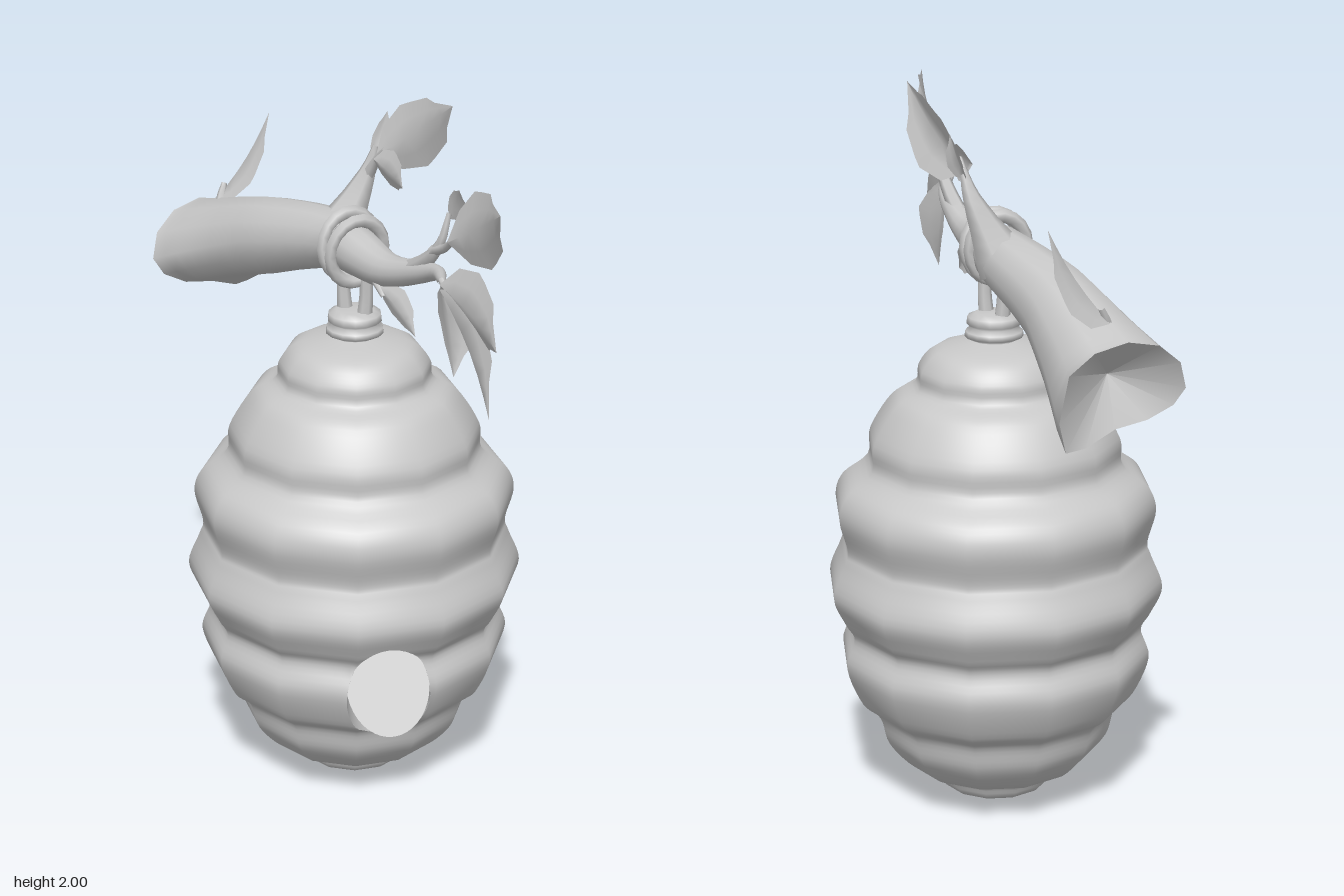
import * as THREE from 'three';

const V = (a) => new THREE.Vector3(...a);

// Surface from rows (v) of points (u); skip(a, b, c) may leave out triangles
function grid(nu, nv, fn, wrap, skip = () => false) {
  const pos = [], index = [], cols = wrap ? nu : nu + 1;
  for (let v = 0; v <= nv; v++)
    for (let u = 0; u < cols; u++) pos.push(...fn(u / nu, v / nv, u, v).toArray());
  for (let v = 0; v < nv; v++)
    for (let u = 0; u < nu; u++) {
      const w = (u + 1) % cols, a = v * cols + u, b = v * cols + w, c = a + cols, d = b + cols;
      for (const t of [[a, b, c], [b, d, c]]) if (!skip(...t)) index.push(...t);
    }
  const g = new THREE.BufferGeometry();
  g.setAttribute('position', new THREE.Float32BufferAttribute(pos, 3));
  g.setIndex(index);
  g.computeVertexNormals();
  return g;
}

// Tapered tube along a smooth path; radii are spread evenly over its points
function taper(points, radii, sides, steps, shape = (offset) => offset) {
  const path = new THREE.CatmullRomCurve3(points.map(V));
  const f = path.computeFrenetFrames(steps, false);
  const ringPoint = (u, v, row) => {
    const k = v * (radii.length - 1), i = Math.min(Math.floor(k), radii.length - 2);
    const r = THREE.MathUtils.lerp(radii[i], radii[i + 1], k - i), a = u * Math.PI * 2;
    const offset = new THREE.Vector3()
      .addScaledVector(f.normals[row], r * Math.cos(a))
      .addScaledVector(f.binormals[row], r * Math.sin(a));
    return path.getPoint(v).add(shape(offset, f.tangents[row], v));
  };
  return { geometry: grid(sides, steps, (u, v, i, j) => ringPoint(u, v, j), true), path, ringPoint };
}

// Folded, pointed leaf from base to tip; 'normal' is the way its face points
function leaf(base, tip, width, normal = [0.72, 0, -0.7]) {
  const b = V(base), axis = V(tip).sub(b), n = V(normal);
  const side = new THREE.Vector3().crossVectors(n, axis).normalize();
  n.crossVectors(axis, side).normalize();
  const w = [0.05, 0.7, 1, 0.92, 0.72, 0.42, 0], len = axis.length();
  return grid(4, 6, (u, v, i, j) => {
    const s = u * 2 - 1;
    return b.clone().addScaledVector(axis, v - 0.06 * Math.abs(s) * (j % 2))
      .addScaledVector(side, s * w[j] * width / 2)
      .addScaledVector(n, Math.abs(s) * w[j] * width * 0.2 + len * 0.04 * Math.sin(v * Math.PI));
  }, false);
}

export function createModel() {
  const model = new THREE.Group();
  const grey = new THREE.MeshStandardMaterial({ name: 'grey', color: 0xc8c8c8 });
  const greyThin = grey.clone();
  greyThin.side = THREE.DoubleSide;
  const white = new THREE.MeshStandardMaterial({ name: 'white', color: 0xffffff });
  const add = (name, geometry, material = grey, parent = model) => {
    const m = new THREE.Mesh(geometry, material);
    m.name = name;
    parent.add(m);
    return m;
  };

  // Hive: scalloped profile, round normals on a twelve-sided outline
  const hive = new THREE.Group();
  hive.name = 'hive';
  hive.position.set(0.05, 0, -0.07);
  model.add(hive);
  const profile = [[0.001, 0.005], [0.08, 0.015], [0.145, 0.04], [0.175, 0.085], [0.24, 0.11], [0.31, 0.19],
    [0.335, 0.27], [0.385, 0.32], [0.428, 0.43], [0.405, 0.51], [0.43, 0.56], [0.462, 0.64], [0.43, 0.73],
    [0.42, 0.77], [0.442, 0.86], [0.42, 0.925], [0.35, 0.985], [0.342, 1.06], [0.28, 1.16],
    [0.215, 1.2], [0.205, 1.25], [0.16, 1.3], [0.06, 1.325]];
  const curve = new THREE.SplineCurve(profile.map((p) => new THREE.Vector2(...p)));
  const rows = curve.getPoints(110);
  const radiusAt = (y) => {
    const i = Math.max(1, rows.findIndex((p) => p.y >= y)), p = rows[i - 1], q = rows[i];
    return THREE.MathUtils.lerp(p.x, q.x, (y - p.y) / (q.y - p.y || 1));
  };
  const facet = (p) => {
    const step = Math.PI / 6, a = Math.atan2(p.x, p.z);
    const off = a - Math.floor(a / step) * step - step / 2;
    const k = Math.cos(step / 2) / Math.cos(off);
    return p.set(p.x * k * 1.008, p.y, p.z * k * 1.008);
  };
  const hole = { x: 0.085, y: 0.415, rx: 0.115, ry: 0.158 };
  const surface = (x, y) => new THREE.Vector3(x, y, Math.sqrt(Math.max(0, radiusAt(y) ** 2 - x * x)));
  const inside = [];
  const shell = grid(120, 110, (u, v, i, j) => {
    const { x: r, y } = rows[j], a = u * Math.PI * 2;
    const p = new THREE.Vector3(r * Math.sin(a), y, r * Math.cos(a));
    const dx = p.x - hole.x, dy = y - hole.y, d = Math.hypot(dx / hole.rx, dy / hole.ry);
    const hit = p.z > 0 && d < 1;
    inside.push(hit);
    return hit ? surface(hole.x + dx / (d || 1), hole.y + dy / (d || 1)) : p;
  }, true, (a, b, c) => inside[a] && inside[b] && inside[c]);
  const sp = shell.attributes.position;
  for (let i = 0; i < sp.count; i++) {
    const p = facet(new THREE.Vector3().fromBufferAttribute(sp, i));
    sp.setXYZ(i, p.x, p.y, p.z);
  }
  add('hiveShell', shell, grey, hive);

  // Entrance: short wall going in to a white panel that leans back at the top
  const rim = (u, k) => {
    const a = u * Math.PI * 2;
    return [hole.x + Math.cos(a) * hole.rx * k, hole.y + Math.sin(a) * hole.ry * k];
  };
  const panelPoint = (x, y) => new THREE.Vector3(x, y, 0.315 - (y - hole.y) * 0.12 + (x - hole.x) * 0.15);
  add('entranceWall', grid(40, 1, (u, v) => (v ? panelPoint(...rim(u, 1)) : facet(surface(...rim(u, 1)))), true),
    greyThin, hive);
  add('entrancePanel', grid(40, 1, (u, v) => panelPoint(...rim(u, v ? 0.001 : 1)), true), white, hive);

  // Ringed neck at the top of the hive
  add('neck', new THREE.LatheGeometry([[0.085, 1.3], [0.06, 1.325], [0.08, 1.335], [0.078, 1.35], [0.06, 1.36],
    [0.075, 1.37], [0.072, 1.39], [0.05, 1.4], [0, 1.4]].map((p) => new THREE.Vector2(...p)), 14), grey, hive);

  // Rope: two loops around the branch and a pair of strands down to the neck
  const ropeAxis = new THREE.Vector3(0.42, 0, 0.9).normalize();
  [[0.035, 1.58, -0.085, 0.06], [0.055, 1.575, -0.04, -0.08]].forEach(([x, y, z, tilt]) => {
    const loop = add('ropeLoop', new THREE.TorusGeometry(0.08, 0.017, 6, 18));
    loop.position.set(x, y, z);
    loop.quaternion.setFromUnitVectors(new THREE.Vector3(0, 0, 1), ropeAxis.clone().setY(tilt).normalize());
    loop.scale.y = 1.12;
  });
  for (const s of [-1, 1])
    add('ropeStrand', taper([[0.05 + s * 0.025, 1.38, -0.07 + s * 0.022], [0.05 + s * 0.03, 1.45, -0.07 + s * 0.024],
      [0.05 + s * 0.028, 1.53, -0.07 + s * 0.026]], [0.022, 0.019, 0.018], 7, 6).geometry);

  // Branch: widens to a torn, hollowed end, flat below with one hanging corner
  const across = new THREE.Vector3(0.86, 0, -0.5).normalize();
  const branch = taper([[-0.37, 1.36, -0.675], [-0.27, 1.435, -0.53], [-0.155, 1.51, -0.36], [0.01, 1.57, -0.15],
    [0.06, 1.575, -0.04], [0.13, 1.57, 0.09], [0.2, 1.605, 0.2], [0.25, 1.645, 0.31], [0.255, 1.67, 0.44]],
  [0.142, 0.122, 0.106, 0.08, 0.066, 0.048, 0.032, 0.02, 0.01], 12, 32, (offset, tangent, v) => {
    const fade = Math.max(0, 1 - v / 0.22), s = offset.dot(across);
    const low = fade * THREE.MathUtils.clamp(0.5 - offset.y / 0.1, 0, 1);
    offset.addScaledVector(across, s * 0.25 * fade);
    offset.y -= low * (0.35 * offset.y + 0.6 * Math.max(0, s));
    if (v === 0) offset.addScaledVector(tangent, 0.25 * offset.y);
    return offset;
  });
  add('branch', branch.geometry);
  const core = branch.path.getPoint(0.06);
  add('branchEnd', grid(12, 1, (u, v) => (v ? branch.ringPoint(u, 0, 0) : core.clone()), true), greyThin);

  // Twigs
  [
    [[[0, 1.56, -0.19], [0.05, 1.66, -0.2], [0.09, 1.75, -0.205], [0.11, 1.82, -0.2]], [0.08, 0.045, 0.022, 0.009]],
    [[[0.09, 1.74, -0.2], [0.11, 1.79, -0.17], [0.13, 1.83, -0.13]], [0.018, 0.012, 0.007]],
    [[[0.18, 1.6, 0.17], [0.23, 1.66, 0.25], [0.26, 1.72, 0.29], [0.28, 1.8, 0.29]], [0.025, 0.02, 0.013, 0.007]],
    [[[0.24, 1.69, 0.27], [0.27, 1.72, 0.33], [0.29, 1.78, 0.4]], [0.014, 0.011, 0.007]],
    [[[0.24, 1.64, 0.3], [0.26, 1.64, 0.35], [0.27, 1.6, 0.37]], [0.014, 0.01, 0.006]],
    [[[0.08, 1.56, 0.04], [0.1, 1.54, 0.09], [0.12, 1.51, 0.13]], [0.018, 0.011, 0.006]],
    [[[-0.32, 1.47, -0.58], [-0.32, 1.53, -0.61], [-0.31, 1.57, -0.63]], [0.025, 0.014, 0.008]],
  ].forEach(([p, r]) => add('twig', taper(p, r, 6, 8).geometry));

  // Leaves: base, tip, width, facing
  [
    [[0.11, 1.8, -0.17], [0.3, 2, 0.03], 0.18],
    [[0.1, 1.81, -0.11], [0.17, 1.79, 0.07], 0.1],
    [[0.1, 1.79, -0.21], [0.14, 1.91, -0.22], 0.07],
    [[0.28, 1.78, 0.28], [0.3, 1.88, 0.35], 0.07],
    [[0.27, 1.76, 0.4], [0.38, 1.92, 0.66], 0.2, [0.9, 0, -0.4]],
    [[0.25, 1.66, 0.44], [0.37, 1.61, 0.77], 0.18, [0.9, 0, -0.4]],
    [[0.25, 1.65, 0.45], [0.36, 1.41, 0.72], 0.18, [0.9, 0.1, -0.3]],
    [[0.26, 1.63, 0.36], [0.29, 1.4, 0.42], 0.15, [0.75, 0, -0.6]],
    [[0.11, 1.53, 0.11], [0.2, 1.44, 0.24], 0.09],
    [[-0.33, 1.53, -0.62], [-0.18, 1.77, -0.66], 0.18, [0.85, -0.5, 0]],
  ].forEach((a) => add('leaf', leaf(...a), greyThin));

  return model;
}
